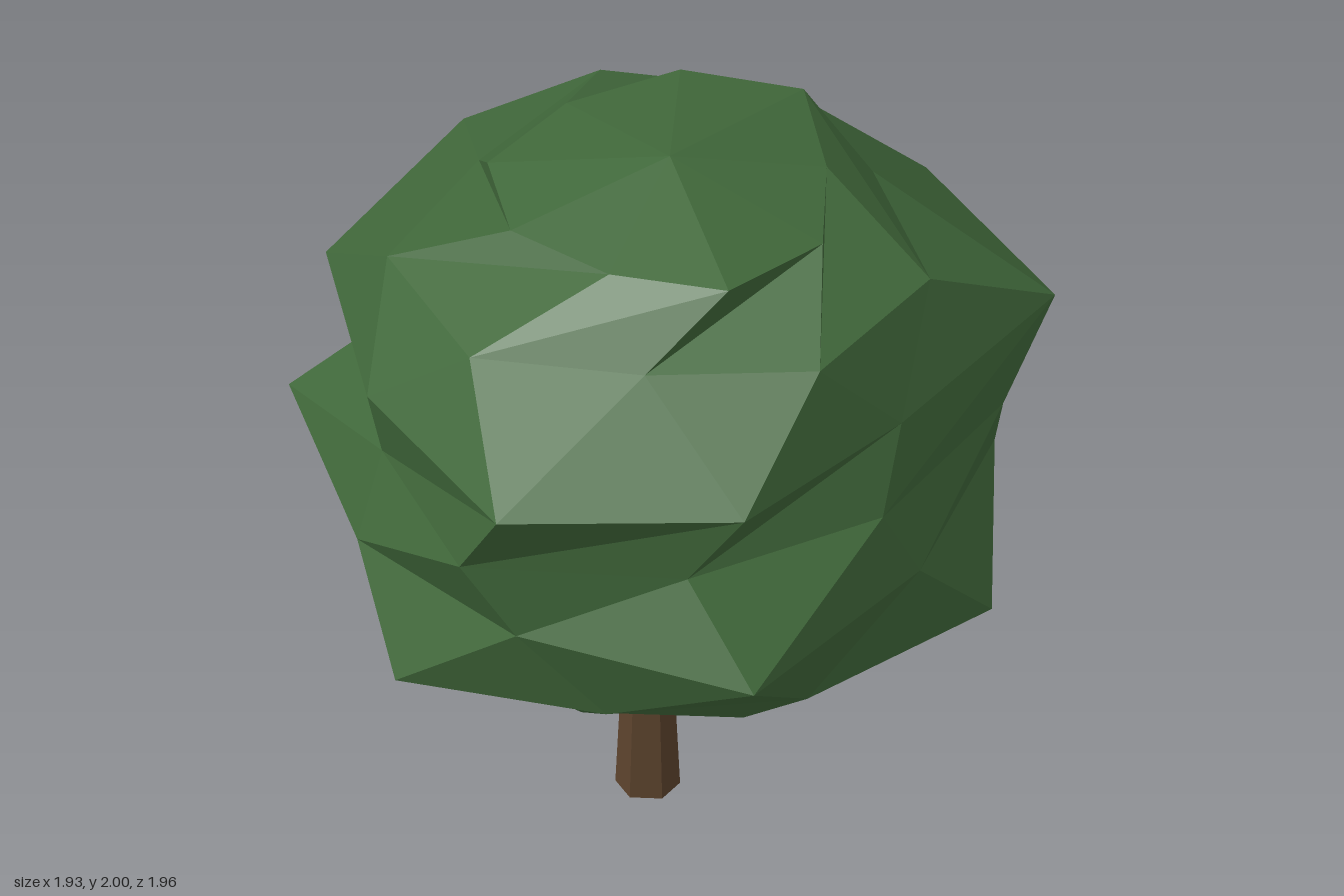
import * as THREE from 'three';

const leafGreen = new THREE.MeshStandardMaterial({ color: 0x41693b, flatShading: true });
leafGreen.name = 'leafGreen';
const barkBrown = new THREE.MeshStandardMaterial({ color: 0x5c432d, flatShading: true, side: THREE.DoubleSide });
barkBrown.name = 'barkBrown';

// Crown cross-sections from top to bottom: height, then nine [x, z, optional lift] corners
const crownRings = [
  [1.895, [[.5, .08, -.015], [.35, .39, .015], [.03, .4], [-.27, .3], [-.42, .04], [-.31, -.27], [-.08, -.5], [.24, -.54, -.015], [.41, -.22]]],
  [1.72, [[.6, .4], [.18, .56], [-.27, .63], [-.61, .28], [-.52, -.19], [-.35, -.66], [.13, -.73], [.46, -.44, .02], [.74, -.07]]],
  [1.478, [[.76, .22, -.01], [.52, .77], [-.08, .98], [-.57, .56], [-.87, 0], [-.72, -.66], [-.12, -.87, -.025], [.46, -.87, -.025], [.96, -.42]]],
  [1.25, [[.75, .34], [.37, .78, .02], [-.21, .89], [-.55, .5, .02], [-.76, 0], [-.62, -.5], [-.08, -.81], [.67, -.69, .02], [.88, -.24, -.01]]],
  [1.035, [[.82, .25], [.59, .9], [-.07, .85], [-.59, .58], [-.97, 0], [-.76, -.45], [-.37, -.87], [.53, -.98, .015], [.82, -.35]]],
  [0.765, [[.93, 0], [.6, .5, -.015], [.15, .78, .025], [-.42, .78], [-.65, .22], [-.66, -.25], [-.4, -.7], [.1, -.88, .02], [.6, -.52]]],
  [0.588, [[.64, .1, .015], [.4, .42], [0, .53], [-.33, .43], [-.41, .1], [-.38, -.25], [-.1, -.55], [.25, -.62, .03], [.55, -.3]]],
];

// Skin the rings with triangles and close both ends with a fan
function crownGeometry(rings, topPole, bottomPole) {
  const points = rings.map(([y, ring]) => ring.map(([x, z, lift = 0]) => [x, y + lift, z]));
  const count = points[0].length;
  const positions = [];
  const face = (...corners) => corners.forEach((c) => positions.push(...c));
  for (let j = 0; j < count; j++) {
    const k = (j + 1) % count;
    face(topPole, points[0][k], points[0][j]);
    for (let i = 0; i < points.length - 1; i++) {
      const a = points[i], b = points[i + 1];
      face(a[j], b[k], b[j]);
      face(a[j], a[k], b[k]);
    }
    const last = points[points.length - 1];
    face(bottomPole, last[j], last[k]);
  }
  const geometry = new THREE.BufferGeometry();
  geometry.setAttribute('position', new THREE.Float32BufferAttribute(positions, 3));
  geometry.computeVertexNormals();
  return geometry;
}

export function createModel() {
  const tree = new THREE.Group();
  tree.name = 'tree';

  // Leafy crown, hollowed slightly around the trunk
  const crown = new THREE.Mesh(crownGeometry(crownRings, [.06, 2, 0], [0, .69, 0]), leafGreen);
  crown.name = 'crown';
  tree.add(crown);

  // Tapered six-sided open trunk reaching into the crown
  const height = 0.72;
  const trunk = new THREE.Mesh(
    new THREE.CylinderGeometry(.05, .083, height, 6, 1, true, Math.PI / 4),
    barkBrown
  );
  trunk.name = 'trunk';
  trunk.position.y = height / 2;
  tree.add(trunk);

  return tree;
}
